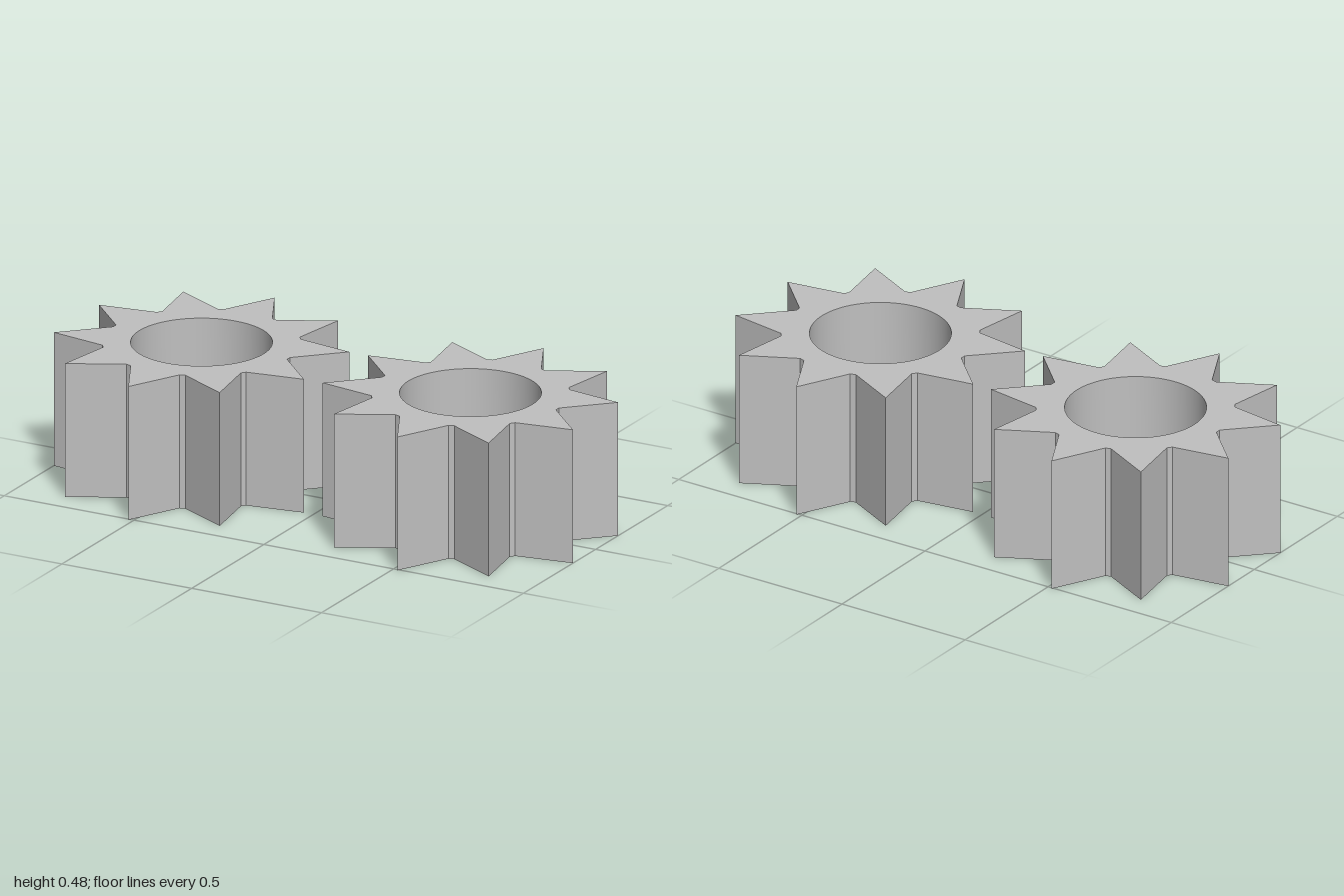
import * as THREE from 'three';
import { toCreasedNormals } from 'three/addons/utils/BufferGeometryUtils.js';

const TEETH = 10;
const TIP_RADIUS = 0.507;
const ROOT_RADIUS = 0.335;
const ROOT_HALF_WIDTH = 0.01;
const BORE_RADIUS = 0.239;
const HEIGHT = 0.477;
const CENTRE_X = 0.518;

// Star-shaped gear outline with narrow flat roots and a round bore
function gearGeometry() {
  const points = [];
  const rootRadius = Math.hypot(ROOT_RADIUS, ROOT_HALF_WIDTH);
  const rootAngle = Math.atan2(ROOT_HALF_WIDTH, ROOT_RADIUS);
  const polar = (r, a) => new THREE.Vector2(r * Math.cos(a), r * Math.sin(a));
  for (let i = 0; i < TEETH; i++) {
    const a = (i / TEETH) * Math.PI * 2;
    points.push(
      polar(rootRadius, a - rootAngle),
      polar(rootRadius, a + rootAngle),
      polar(TIP_RADIUS, a + Math.PI / TEETH),
    );
  }
  const shape = new THREE.Shape(points);
  shape.holes.push(new THREE.Path().absarc(0, 0, BORE_RADIUS, 0, Math.PI * 2, true));

  const geometry = new THREE.ExtrudeGeometry(shape, {
    depth: HEIGHT,
    bevelEnabled: false,
    curveSegments: 64,
  });
  geometry.rotateX(-Math.PI / 2);
  // Smooth bore, sharp teeth
  return toCreasedNormals(geometry, 0.4);
}

export function createModel() {
  const model = new THREE.Group();
  model.name = 'gearPair';

  const steel = new THREE.MeshStandardMaterial({ color: 0xc0c0c0 });
  steel.name = 'steelGrey';

  // Two identical gears side by side
  const geometry = gearGeometry();
  for (const [name, side] of [['leftGear', 1], ['rightGear', -1]]) {
    const gear = new THREE.Mesh(geometry, steel);
    gear.name = name;
    gear.position.x = side * CENTRE_X;
    model.add(gear);
  }
  return model;
}
